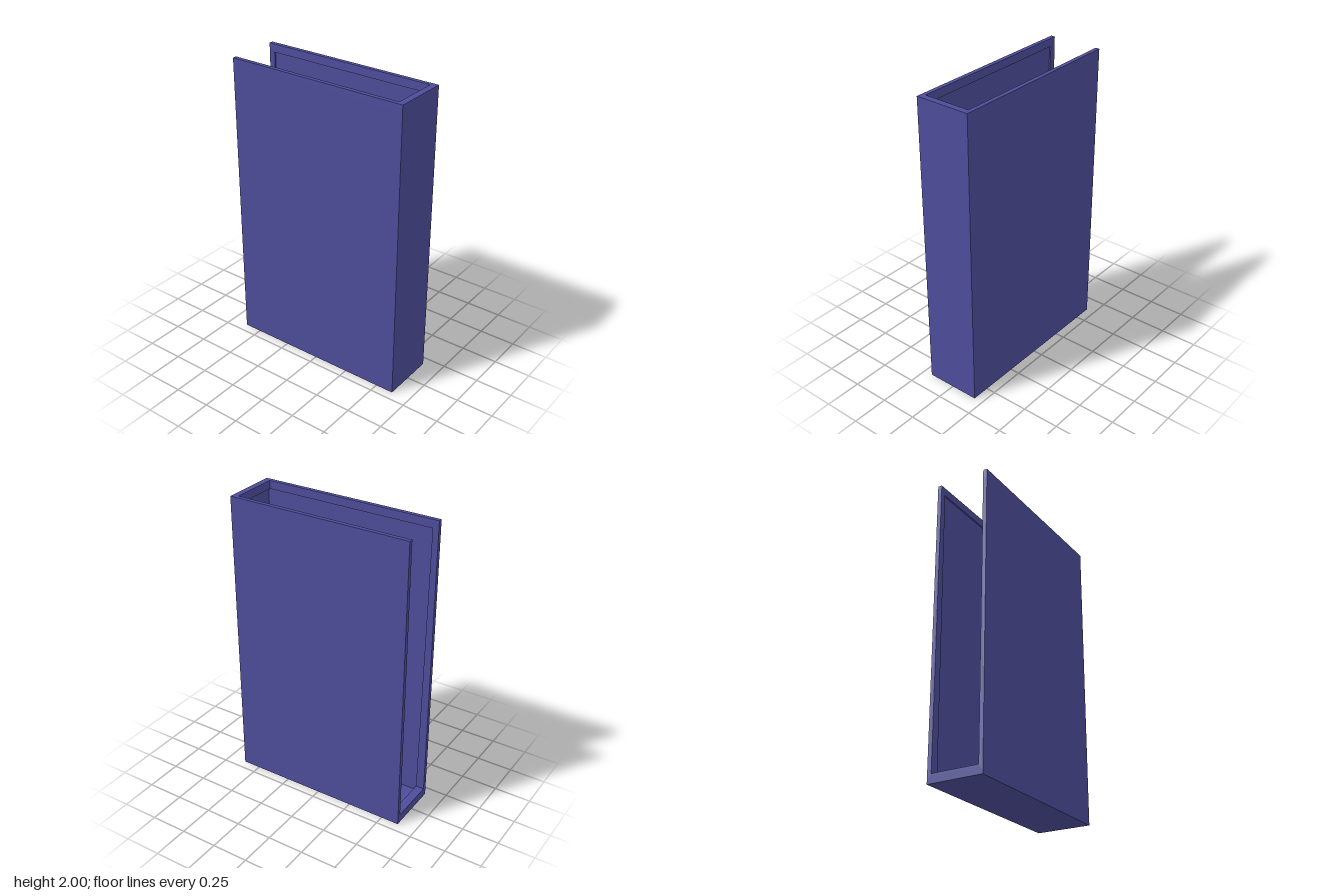
import * as THREE from 'three';

const W = 0.1875, D = 0.623, H = 2;        // half width, half depth, height
const FLOOR = 0.02, RIM_Y = 1.945;         // floor thickness, underside of the top rim
const BACK_LOW = -0.565, BACK_HIGH = -0.583; // back rim edge, at the bottom and at the top

// U outline: base at low v, open at high v
function uShape(v0, v1, side, base) {
  return new THREE.Shape([
    [-W, v0], [W, v0], [W, v1], [W - side, v1],
    [W - side, v0 + base], [-W + side, v0 + base], [-W + side, v1], [-W, v1],
  ].map(([u, v]) => new THREE.Vector2(u, v)));
}

const extrude = (shape, depth) => new THREE.ExtrudeGeometry(shape, { depth, bevelEnabled: false });

// Plan-view U (closed at the front), standing between two heights
function planU(y0, y1, zBack, side, front) {
  const g = extrude(uShape(-D, -zBack, side, front), y1 - y0);
  return g.rotateX(-Math.PI / 2).translate(0, y0, 0);
}

// Lean the joint between walls and back rim slightly backwards towards the top
function leanJoint(g) {
  const p = g.attributes.position;
  for (let i = 0; i < p.count; i++) {
    if (Math.abs(p.getZ(i) - BACK_LOW) < 1e-4 && p.getY(i) > 1) p.setZ(i, BACK_HIGH);
  }
  g.computeVertexNormals();
  return g;
}

export function createModel() {
  const group = new THREE.Group();
  const material = new THREE.MeshStandardMaterial({ color: 0x4d4d9b });
  const add = (name, geometry) => {
    const mesh = new THREE.Mesh(geometry, material);
    mesh.name = name;
    group.add(mesh);
  };

  // Recessed floor plate
  add('floor', new THREE.BoxGeometry(2 * W, FLOOR, 2 * D).translate(0, FLOOR / 2, 0));

  // Thin front and side walls
  add('walls', leanJoint(planU(FLOOR, RIM_Y, BACK_LOW, 0.018, 0.025)));

  // Thicker lip around the open top
  add('topRim', planU(RIM_Y, H, -D, 0.028, 0.042));

  // Thicker lip around the open back, with a raised sill
  const back = extrude(uShape(FLOOR, RIM_Y, 0.028, 0.04), D + BACK_LOW).translate(0, 0, -D);
  add('backRim', leanJoint(back));

  return group;
}
